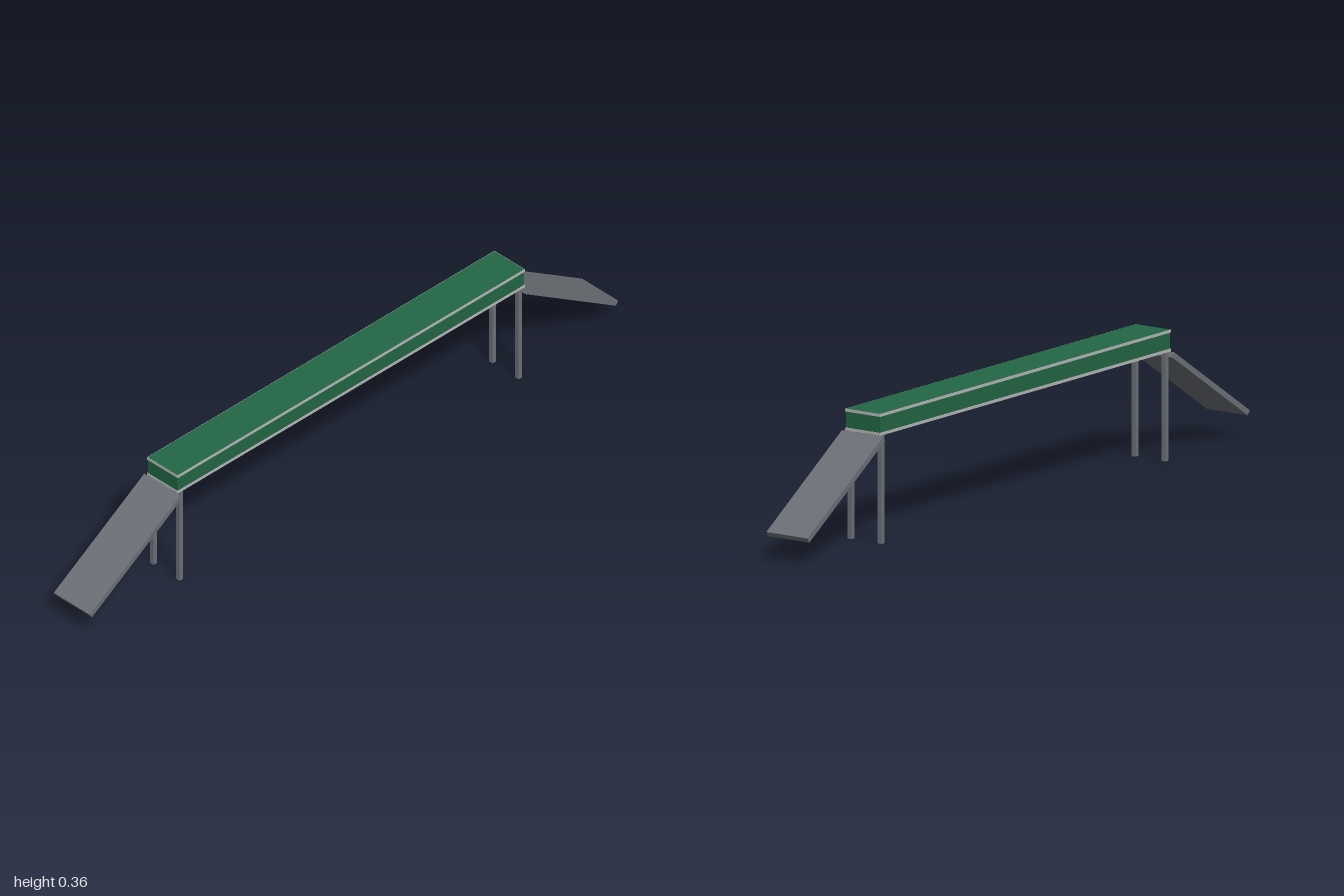
import * as THREE from 'three';

const green = new THREE.MeshStandardMaterial({ color: 0x226644 });
const lightGrey = new THREE.MeshStandardMaterial({ color: 0xb4b6b8 });
const darkGrey = new THREE.MeshStandardMaterial({ color: 0x6c7076 });

function box(parent, name, size, position, material) {
  const mesh = new THREE.Mesh(new THREE.BoxGeometry(...size), material);
  mesh.name = name;
  mesh.position.set(...position);
  parent.add(mesh);
  return mesh;
}

export function createModel() {
  const model = new THREE.Group();
  model.name = 'rampedWalkway';

  // The walkway lies slightly askew to the x axis
  const walkway = new THREE.Group();
  walkway.name = 'walkway';
  walkway.rotation.y = -0.117;
  model.add(walkway);

  const halfLength = 0.657, bottom = 0.299, top = 0.36;

  // Green beam, with thin plates that stand just proud of its sides
  box(walkway, 'deckBeam', [halfLength * 2 - 0.003, top - bottom, 0.114],
    [0, (top + bottom) / 2, 0], green);
  const plate = 0.008, inset = 0.0004;
  box(walkway, 'topPlate', [halfLength * 2, plate, 0.117],
    [0, top - inset - plate / 2, 0], lightGrey);
  box(walkway, 'bottomPlate', [halfLength * 2, plate, 0.117],
    [0, bottom + inset + plate / 2, 0], lightGrey);

  for (const side of [-1, 1]) {
    // Square posts under each end
    for (const edge of [-1, 1]) {
      box(walkway, 'post', [0.0135, bottom, 0.0135],
        [side * 0.641, bottom / 2, edge * 0.05], darkGrey);
    }

    // Sloping ramp, hinged at the top edge of its inner end
    const hinge = new THREE.Group();
    hinge.name = side > 0 ? 'leftRamp' : 'rightRamp';
    hinge.position.set(side * halfLength, bottom, 0);
    hinge.rotation.z = -side * 0.572;
    walkway.add(hinge);
    box(hinge, 'rampBoard', [0.407, 0.0155, 0.138],
      [side * 0.2035, -0.00775, 0], darkGrey);
  }

  return model;
}
